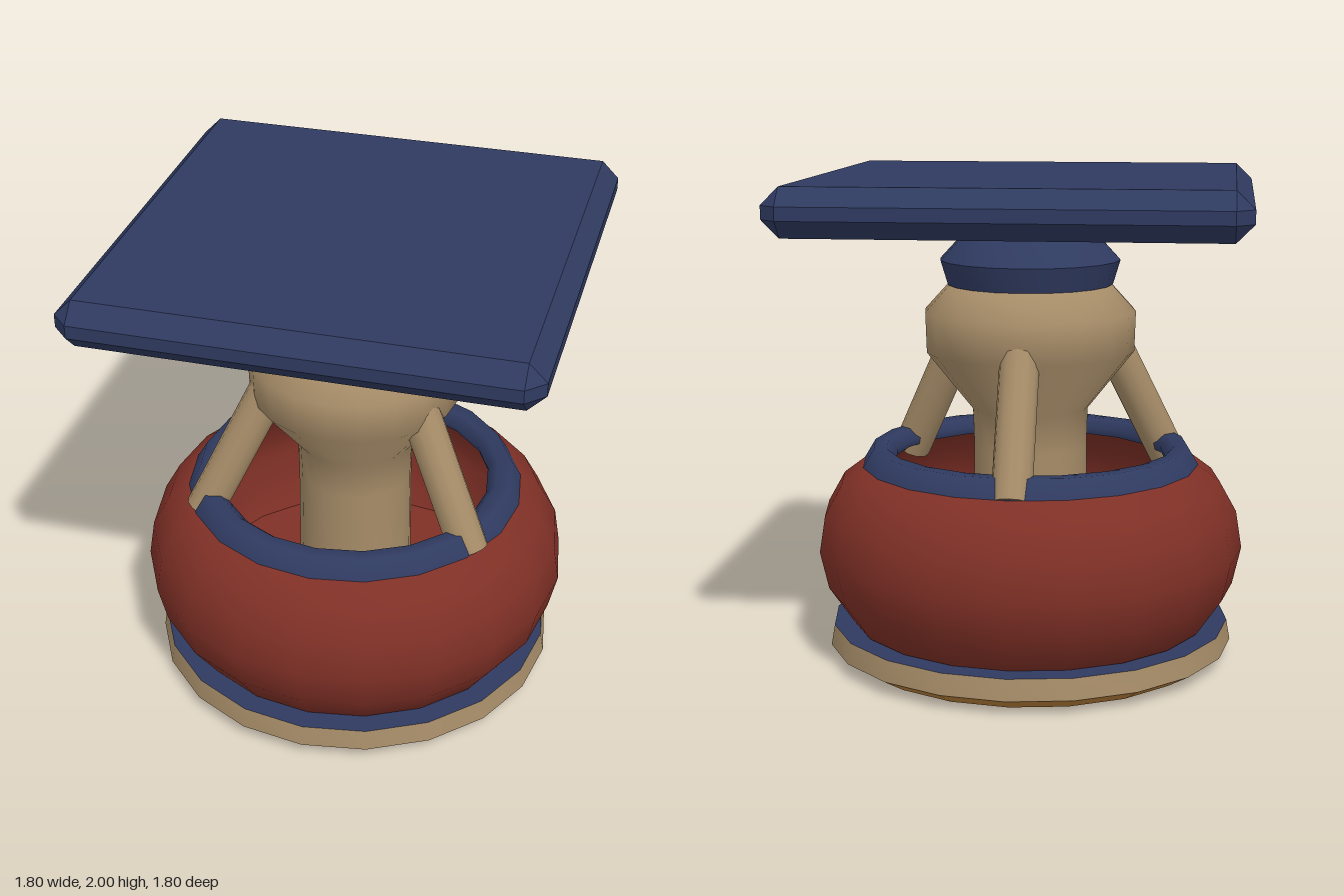
import * as THREE from 'three';
import { toCreasedNormals } from 'three/addons/utils/BufferGeometryUtils.js';
import { ConvexGeometry } from 'three/addons/geometries/ConvexGeometry.js';

const paint = (name, hex) => {
  const m = new THREE.MeshStandardMaterial({ color: hex });
  m.name = name;
  return m;
};

export function createModel() {
  const navy = paint('navy', 0x2f3a60);
  const red = paint('brick red', 0x7f3026);
  const tan = paint('tan', 0xa68c68);
  const amber = paint('amber', 0xb9813a);

  const model = new THREE.Group();
  model.name = 'model';
  const add = (name, geometry, material) => {
    const mesh = new THREE.Mesh(geometry, material);
    mesh.name = name;
    model.add(mesh);
    return mesh;
  };
  // Profiles run from the lower centre outwards, up, and back to the axis
  const turn = (name, profile, material, crease = 0.9) => {
    const points = profile.map(([r, y]) => new THREE.Vector2(r, y));
    return add(name, toCreasedNormals(new THREE.LatheGeometry(points, 20), crease), material);
  };

  // Base: recessed floor, bevelled foot, upright band and trim
  turn('baseFloor', [[0, 0.08], [0.55, 0.08], [0.65, 0.03], [0.72, 0]], tan);
  turn('baseFoot', [[0.72, 0], [0.745, 0], [0.845, 0.06]], amber);
  turn('baseBand', [[0.845, 0.06], [0.83, 0.145]], tan);
  turn('baseTrim', [[0.83, 0.145], [0.7, 0.145]], navy);

  // Grille under the base: five strips clipped to a circle
  const count = 5, radius = 0.55, pitch = (2 * radius) / count, gap = 0.012;
  for (let i = 0; i < count; i++) {
    const x0 = -radius + i * pitch + gap, x1 = x0 + pitch - 2 * gap;
    const upper = [], lower = [];
    for (let k = 0; k <= 6; k++) {
      const x = x0 + ((x1 - x0) * k) / 6;
      const h = Math.sqrt(radius * radius - x * x);
      upper.push(new THREE.Vector2(x, h));
      lower.unshift(new THREE.Vector2(x, -h));
    }
    const strip = new THREE.ExtrudeGeometry(new THREE.Shape([...upper, ...lower]), { depth: 0.009, bevelEnabled: false });
    strip.rotateX(Math.PI / 2);
    strip.translate(0, 0.078, 0);
    add('grilleStrip', strip, red);
  }

  // Hollow bowl and its rim
  turn('bowl', [
    [0.7, 0.12], [0.745, 0.15], [0.85, 0.305], [0.885, 0.46], [0.86, 0.615], [0.79, 0.74], [0.69, 0.815],
    [0.6, 0.815], [0.72, 0.7], [0.8, 0.46], [0.69, 0.22], [0, 0.17],
  ], red);
  turn('rim', [[0.57, 0.815], [0.7, 0.81], [0.655, 0.885], [0.6, 0.885], [0.56, 0.845], [0.57, 0.815]], navy, 1.2);

  // Central column with its wide head, and the dome above
  turn('column', [
    [0.24, 0.16], [0.235, 0.88], [0.24, 1.04], [0.43, 1.28], [0.435, 1.445], [0.335, 1.555], [0, 1.555],
  ], tan, 1.0);
  turn('dome', [[0, 1.55], [0.34, 1.555], [0.37, 1.655], [0.24, 1.795], [0.08, 1.815], [0, 1.82]], navy, 1.0);

  // Three sloping legs from the head to the rim
  const up = new THREE.Vector3(0, 1, 0);
  for (let i = 0; i < 3; i++) {
    const angle = Math.PI / 6 + (i * Math.PI * 2) / 3;
    const at = (r, y) => new THREE.Vector3(r * Math.cos(angle), y, r * Math.sin(angle));
    const foot = at(0.645, 0.785), head = at(0.31, 1.41);
    const axis = head.clone().sub(foot);
    const leg = add('leg', new THREE.CylinderGeometry(0.08, 0.08, axis.length(), 12), tan);
    leg.position.copy(foot).addScaledVector(axis, 0.5);
    leg.quaternion.setFromUnitVectors(up, axis.normalize());
  }

  // Square top plate with every edge chamfered
  const half = [0.9, 0.095, 0.9], cut = 0.069, corners = [];
  for (let face = 0; face < 3; face++)
    for (const sx of [-1, 1]) for (const sy of [-1, 1]) for (const sz of [-1, 1]) {
      const p = half.map((h, k) => [sx, sy, sz][k] * (k === face ? h : h - cut));
      corners.push(new THREE.Vector3(...p));
    }
  add('topPlate', new ConvexGeometry(corners), navy).position.y = 1.905;

  return model;
}
